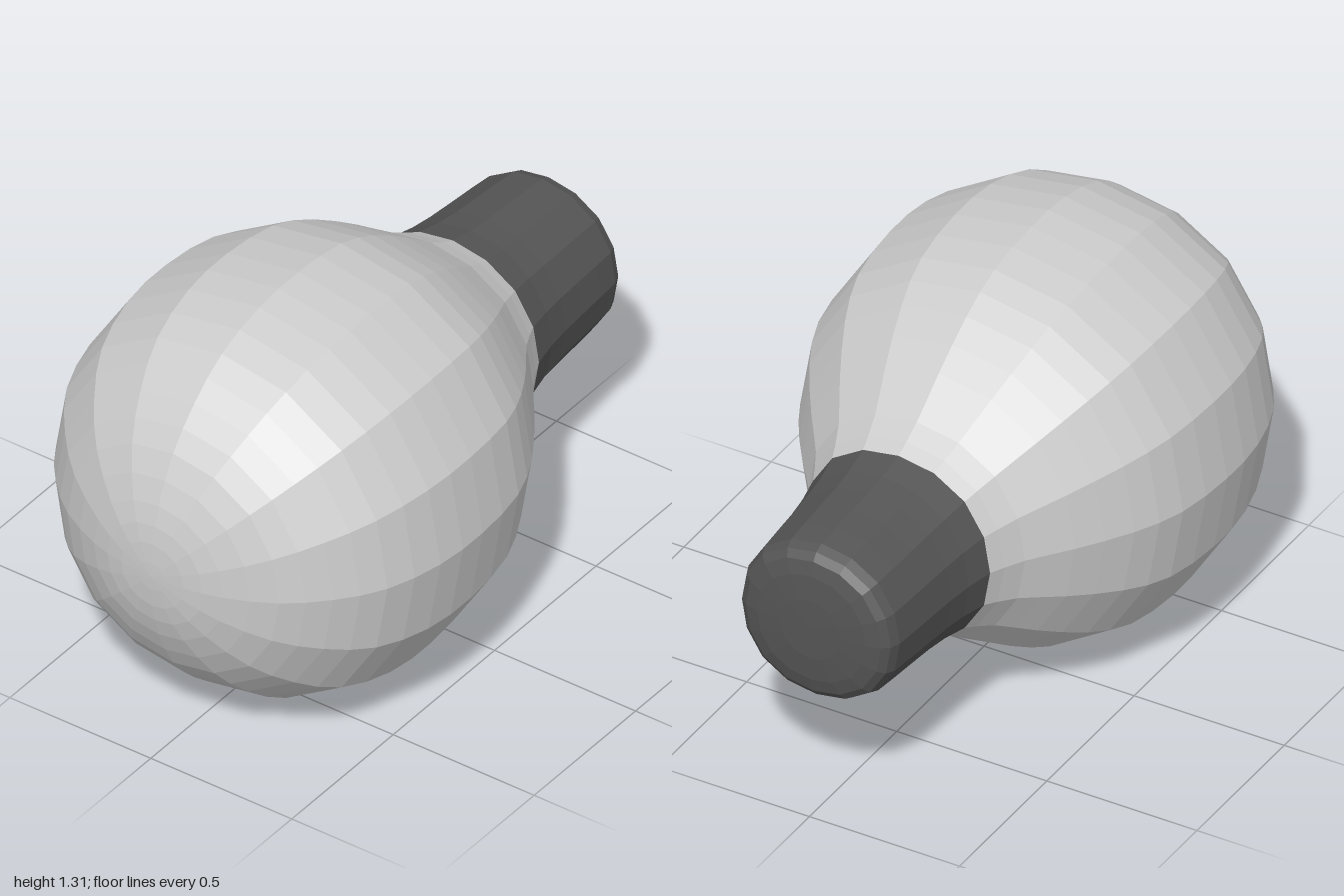
import * as THREE from 'three';

const SIDES = 16, CENTRE_Y = 0.653;

// Turn a [radius, z] profile (listed back to front) into a faceted solid lying along z
function turned(name, profile, color) {
  const geo = new THREE.LatheGeometry(profile.map(([r, z]) => new THREE.Vector2(r, z)), SIDES);
  const pos = geo.attributes.position;
  // The cross-section is very slightly squared towards the diagonals
  for (let i = 0; i < pos.count; i++) {
    const x = pos.getX(i), z = pos.getZ(i);
    const k = 1 + 0.011 * (1 - Math.cos(4 * Math.atan2(z, x)));
    pos.setX(i, x * k);
    pos.setZ(i, z * k);
  }
  geo.rotateX(Math.PI / 2);
  geo.computeVertexNormals();
  const mesh = new THREE.Mesh(geo, new THREE.MeshStandardMaterial({ color, flatShading: true }));
  mesh.name = name;
  mesh.position.y = CENTRE_Y;
  return mesh;
}

export function createModel() {
  const group = new THREE.Group();
  group.name = 'lightBulb';

  // Screw base: closed, rounded back end and a gently flaring sleeve
  group.add(turned('base', [
    [0, -1], [0.1, -0.998], [0.18, -0.99], [0.225, -0.978], [0.248, -0.96], [0.26, -0.93],
    [0.266, -0.85], [0.272, -0.75], [0.278, -0.66], [0.287, -0.58], [0.305, -0.49],
  ], 0x555555));

  // Glass: neck swelling into a round bulb
  const curve = new THREE.SplineCurve([
    [0.305, -0.49], [0.36, -0.385], [0.455, -0.26], [0.56, -0.1], [0.628, 0.06], [0.653, 0.27],
    [0.643, 0.465], [0.588, 0.65], [0.492, 0.785], [0.375, 0.89], [0.23, 0.962], [0.11, 0.992], [0, 1],
  ].map(([r, z]) => new THREE.Vector2(r, z)));
  const glass = curve.getPoints(24).map(p => [Math.max(0, p.x), p.y]);
  group.add(turned('glass', glass, 0xcccccc));

  return group;
}
